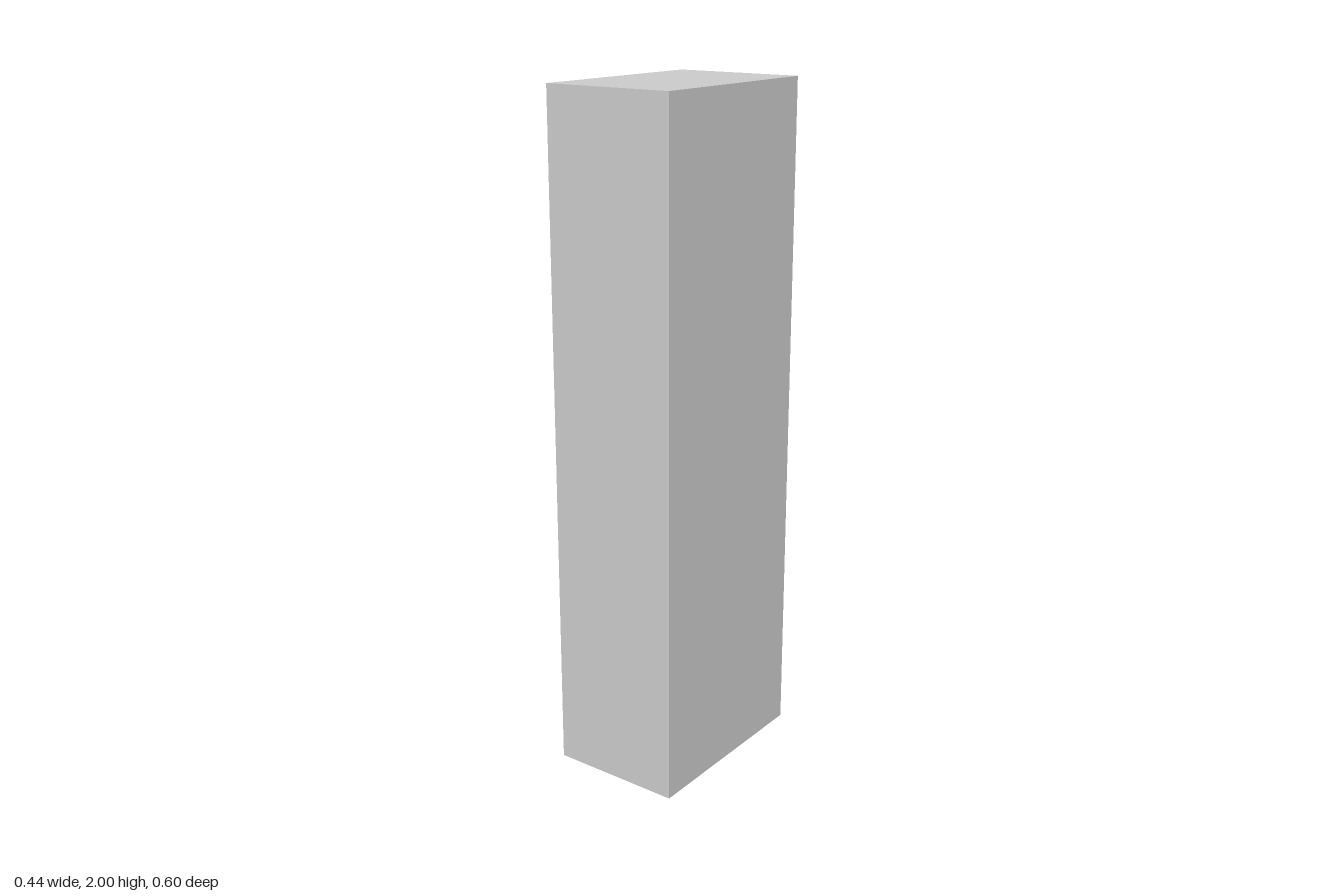
import * as THREE from 'three';

const material = new THREE.MeshStandardMaterial({ color: 0xcccccc, flatShading: true });

// Box given by its minimum and maximum corners
function block(name, [x0, y0, z0], [x1, y1, z1]) {
  const mesh = new THREE.Mesh(new THREE.BoxGeometry(x1 - x0, y1 - y0, z1 - z0), material);
  mesh.name = name;
  mesh.position.set((x0 + x1) / 2, (y0 + y1) / 2, (z0 + z1) / 2);
  return mesh;
}

export function createModel() {
  const model = new THREE.Group();
  model.name = 'tallCabinet';

  // Cabinet body with a thin flush panel on its left side
  model.add(block('body', [-0.18, 0, -0.3], [0.205, 2, 0.3]));
  model.add(block('sidePanel', [0.205, 0, -0.3], [0.22, 2, 0.3]));

  // Pull handle: two mounts joined by a slim grip, open in the middle
  const handle = new THREE.Group();
  handle.name = 'handle';
  handle.add(block('lowerMount', [-0.22, 0.76, -0.26], [-0.18, 0.9, -0.22]));
  handle.add(block('upperMount', [-0.22, 1.02, -0.26], [-0.18, 1.16, -0.22]));
  handle.add(block('grip', [-0.22, 0.9, -0.253], [-0.205, 1.02, -0.22]));
  model.add(handle);

  return model;
}
